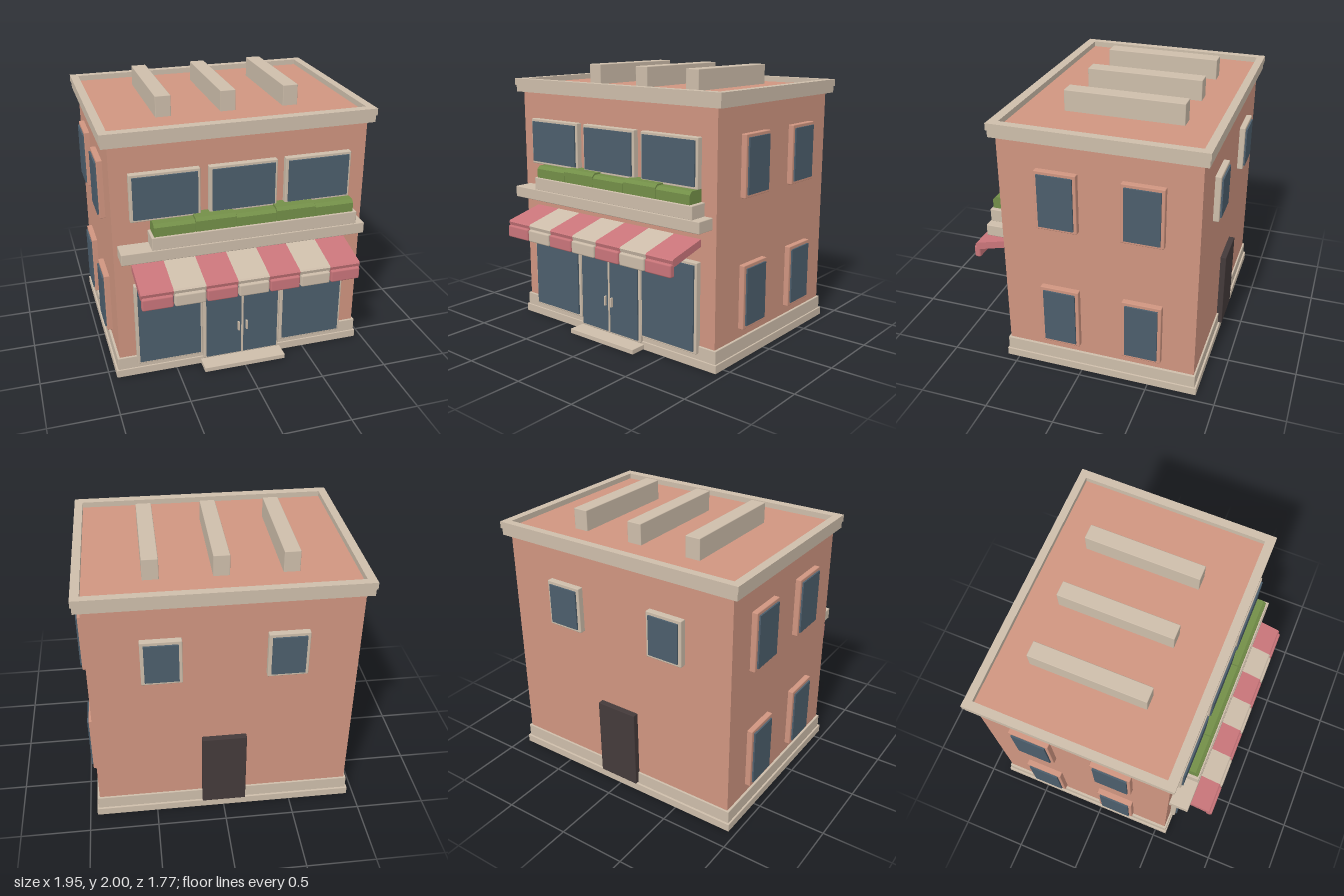
import * as THREE from 'three';
import { RoundedBoxGeometry } from 'three/addons/geometries/RoundedBoxGeometry.js';

const paint = (name, color) => {
  const m = new THREE.MeshStandardMaterial({ color });
  m.name = name;
  return m;
};

export function createModel() {
  const wall = paint('terracotta wall', 0xcf9580);
  const trim = paint('beige trim', 0xcdbdaa);
  const glass = paint('blue glass', 0x4c5e6c);
  const pink = paint('awning pink', 0xc9757a);
  const green = paint('hedge green', 0x738f48);
  const dark = paint('dark door', 0x443a3a);

  const model = new THREE.Group();
  model.name = 'shopBuilding';

  const add = (name, geometry, material, parent = model) => {
    const mesh = new THREE.Mesh(geometry, material);
    mesh.name = name;
    parent.add(mesh);
    return mesh;
  };
  // Box given by its minimum and maximum on each axis, with optional small bevel
  const box = (name, material, [x0, x1], [y0, y1], [z0, z1], bevel = 0, parent = model) => {
    const size = [x1 - x0, y1 - y0, z1 - z0];
    const g = bevel ? new RoundedBoxGeometry(...size, 1, bevel) : new THREE.BoxGeometry(...size);
    const mesh = add(name, g, material, parent);
    mesh.position.set((x0 + x1) / 2, (y0 + y1) / 2, (z0 + z1) / 2);
    return mesh;
  };
  // Side outline in z and y, extruded along x
  const profile = (name, material, points, x0, x1, parent) => {
    const shape = new THREE.Shape(points.map(([z, y]) => new THREE.Vector2(-z, y)));
    const g = new THREE.ExtrudeGeometry(shape, { depth: x1 - x0, bevelEnabled: false });
    g.rotateY(Math.PI / 2).translate(x0, 0, 0);
    return add(name, g, material, parent);
  };

  // Body and plinth
  box('walls', wall, [-0.92, 0.92], [0.05, 1.85], [-0.83, 0.568]);
  box('lowerPlinth', trim, [-0.95, 0.947], [0, 0.062], [-0.857, 0.592], 0.004);
  box('upperPlinth', trim, [-0.937, 0.937], [0.055, 0.157], [-0.843, 0.583], 0.004);
  box('entranceStep', trim, [-0.315, 0.312], [0.005, 0.042], [0.5, 0.717], 0.004);

  // Cornice rings around the recessed roof
  const ring = (name, x, z0, z1, y0, y1) => {
    const rect = (w, a, b) => [[-w, a], [w, a], [w, b], [-w, b]].map((p) => new THREE.Vector2(...p));
    const shape = new THREE.Shape(rect(x, -z1, -z0));
    shape.holes.push(new THREE.Path(rect(0.913, -0.542, 0.822)));
    const g = new THREE.ExtrudeGeometry(shape, { depth: y1 - y0, bevelEnabled: false });
    g.rotateX(-Math.PI / 2).translate(0, y0, 0);
    add(name, g, trim);
  };
  ring('corniceLip', 0.965, -0.87, 0.603, 1.79, 1.84);
  ring('corniceTop', 0.973, -0.878, 0.61, 1.84, 1.89);

  // Roof beams
  for (const x of [-0.47, -0.003, 0.463]) {
    box('roofBeam', trim, [x - 0.056, x + 0.056], [1.84, 2], [-0.603, 0.243], 0.005);
  }

  // Window facing +z in its own group: frame slab with a raised pane
  const windowUnit = (name, frame, w, h, x, y, z, turn, border = 0.02) => {
    const unit = new THREE.Group();
    unit.name = name;
    box('frame', frame, [-w / 2, w / 2], [-h / 2, h / 2], [-0.01, 0.042], 0.006, unit);
    box('pane', glass, [-w / 2 + border, w / 2 - border], [-h / 2 + border, h / 2 - border], [0.03, 0.054], 0, unit);
    unit.position.set(x, y, z);
    unit.rotation.y = turn;
    model.add(unit);
  };

  // Front windows and shop windows
  for (const [x, w] of [[-0.552, 0.49], [0, 0.49], [0.55, 0.49]]) {
    windowUnit('upperFrontWindow', trim, w, 0.345, x, 1.422, 0.568, 0);
  }
  for (const x of [-0.549, 0.547]) {
    windowUnit('shopWindow', trim, 0.495, 0.65, x, 0.43, 0.568, 0);
  }

  // Side windows, two rows on each side
  for (const s of [-1, 1]) {
    for (const z of [0.148, -0.452]) {
      windowUnit('upperSideWindow', wall, 0.296, 0.435, s * 0.918, 1.378, z, s * Math.PI / 2, 0.023);
      windowUnit('lowerSideWindow', wall, 0.285, 0.465, s * 0.918, 0.457, z, s * Math.PI / 2, 0.025);
    }
    // Back windows
    windowUnit('backWindow', trim, 0.28, 0.34, s * 0.425, 1.37, -0.83, Math.PI, 0.024);
  }
  box('backDoor', dark, [-0.16, 0.16], [0.07, 0.67], [-0.873, -0.82], 0.005);

  // Double entrance door
  box('doorFrame', trim, [-0.295, 0.295], [0.052, 0.755], [0.55, 0.609], 0.006);
  box('doorDivider', trim, [-0.007, 0.007], [0.065, 0.74], [0.6, 0.626], 0.002);
  for (const s of [-1, 1]) {
    const inner = s * 0.009, outer = s * 0.275;
    box('doorPane', glass, [Math.min(inner, outer), Math.max(inner, outer)], [0.07, 0.735], [0.6, 0.621]);
    box('doorHandle', trim, [s * 0.031 - 0.006, s * 0.031 + 0.006], [0.27, 0.343], [0.615, 0.64], 0.002);
  }

  // Ledge, planter and hedges
  box('ledge', trim, [-0.89, 0.887], [0.988, 1.072], [0.55, 0.712], 0.006);
  box('planter', trim, [-0.675, 0.823], [1.068, 1.165], [0.55, 0.706], 0.006);
  for (let i = 0; i < 5; i++) {
    const x = -0.658 + i * 0.291;
    const top = 1.253 + (i % 2) * 0.01;
    profile('hedge', green, [[0.56, 1.15], [0.693, 1.15], [0.693, top - 0.022], [0.67, top], [0.56, top]],
      x + 0.002, x + 0.289);
  }

  // Striped awning with a hanging valance
  const awning = new THREE.Group();
  awning.name = 'awning';
  model.add(awning);
  const stripe = 1.595 / 7;
  for (let i = 0; i < 7; i++) {
    const x = -0.799 + i * stripe;
    const color = i % 2 ? trim : pink;
    profile('awningStripe', color,
      [[0.56, 0.862], [0.845, 0.79], [0.857, 0.792], [0.868, 0.832], [0.858, 0.843], [0.56, 0.914]],
      x, x + stripe, awning);
    box('valance', color, [x + 0.004, x + stripe - 0.004], [0.717, 0.808], [0.838, 0.885], 0.012, awning);
  }
  return model;
}
